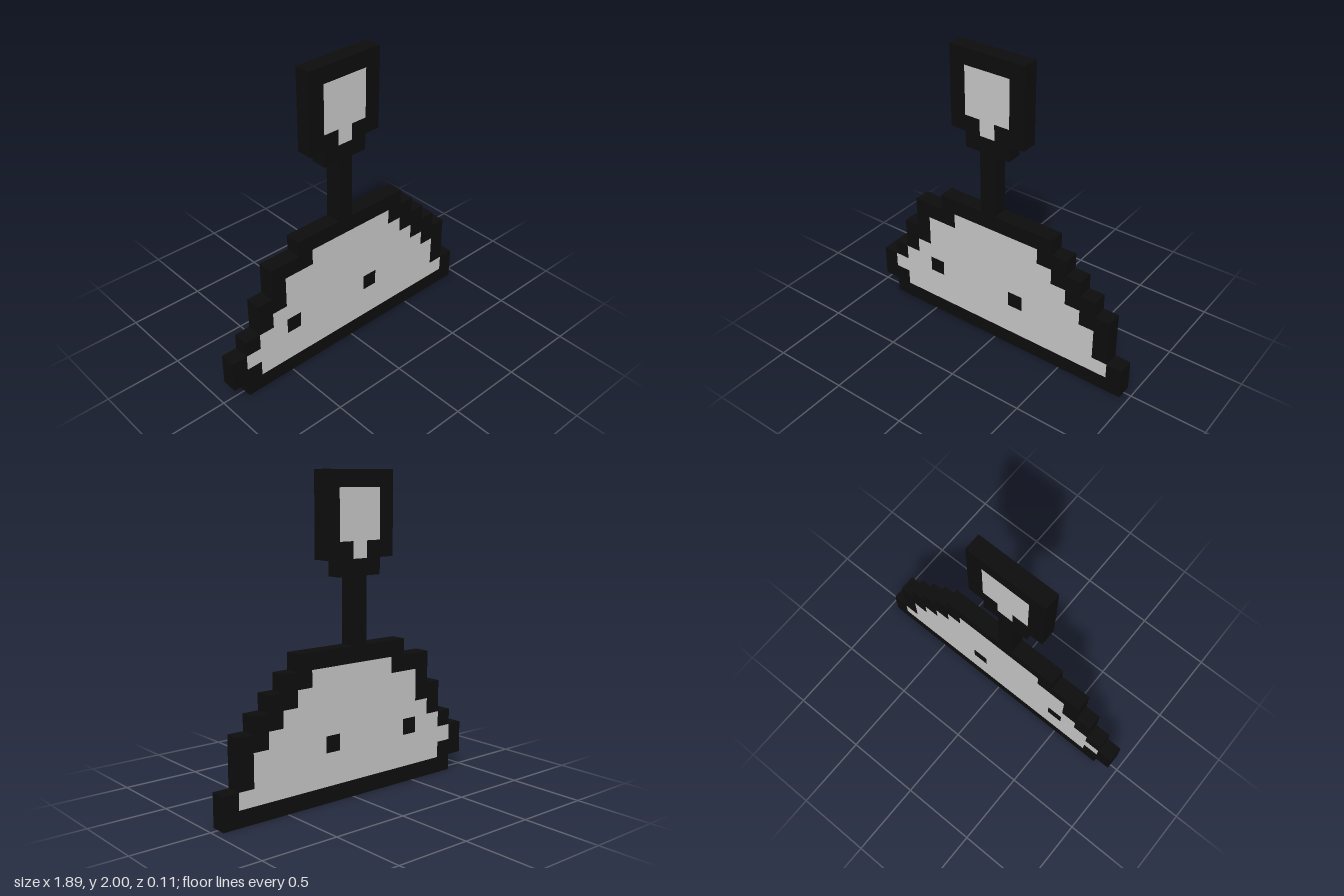
import * as THREE from 'three';

const CELL = 2 / 19;      // pixel size
const HALF = CELL / 2;    // half thickness

// Pixel plan, top row first; each letter is a part
const PLAN = [
  '......HHHHH.......',
  '......HpppH.......',
  '......HpppH.......',
  '......HpppH.......',
  '......HHpHH.......',
  '.......HHH........',
  '........S.........',
  '........S.........',
  '........S.........',
  '........S.........',
  '.....BBBBBBBB.....',
  '...BBBffffffBB....',
  '...BfffffffffBB...',
  '..BBffffffffffBB..',
  '..BffffffffffffBB.',
  '.BffeffffferrrrrB.'.replace(/r/g, 'f'),
  'BfffffffffffffffB.',
  'BBfffffffffffffffB',
  '.BBBBBBBBBBBBBBBBB',
];
const ROWS = PLAN.length, COLS = PLAN[0].length;
const cellAt = (c, r) => (PLAN[ROWS - 1 - r] || '')[c] || '.';

// Flush plate made of every cell with the given letter; only exposed faces are built
function pixelPart(letter) {
  const pos = [], nor = [];
  const quad = (a, b, c, d, n) => {
    for (const p of [a, b, c, a, c, d]) { pos.push(...p); nor.push(...n); }
  };
  for (let r = 0; r < ROWS; r++) {
    for (let c = 0; c < COLS; c++) {
      if (cellAt(c, r) !== letter) continue;
      const x0 = (c - COLS / 2) * CELL, x1 = x0 + CELL;
      const y0 = r * CELL, y1 = y0 + CELL, f = HALF, b = -HALF;
      quad([x0, y0, f], [x1, y0, f], [x1, y1, f], [x0, y1, f], [0, 0, 1]);
      quad([x1, y0, b], [x0, y0, b], [x0, y1, b], [x1, y1, b], [0, 0, -1]);
      if (cellAt(c - 1, r) === '.') quad([x0, y0, b], [x0, y0, f], [x0, y1, f], [x0, y1, b], [-1, 0, 0]);
      if (cellAt(c + 1, r) === '.') quad([x1, y0, f], [x1, y0, b], [x1, y1, b], [x1, y1, f], [1, 0, 0]);
      if (cellAt(c, r + 1) === '.') quad([x0, y1, f], [x1, y1, f], [x1, y1, b], [x0, y1, b], [0, 1, 0]);
      if (cellAt(c, r - 1) === '.') quad([x0, y0, b], [x1, y0, b], [x1, y0, f], [x0, y0, f], [0, -1, 0]);
    }
  }
  const geo = new THREE.BufferGeometry();
  geo.setAttribute('position', new THREE.Float32BufferAttribute(pos, 3));
  geo.setAttribute('normal', new THREE.Float32BufferAttribute(nor, 3));
  return geo;
}

export function createModel() {
  const black = new THREE.MeshStandardMaterial({ color: 0x0d0d0d });
  black.name = 'outline black';
  const grey = new THREE.MeshStandardMaterial({ color: 0xc5c5c5 });
  grey.name = 'fill grey';

  const group = new THREE.Group();
  group.name = 'pixelFigure';
  const parts = [
    ['bodyOutline', 'B', black],
    ['bodyFill', 'f', grey],
    ['eyes', 'e', black],
    ['stem', 'S', black],
    ['topOutline', 'H', black],
    ['topFill', 'p', grey],
  ];
  for (const [name, letter, material] of parts) {
    const mesh = new THREE.Mesh(pixelPart(letter), material);
    mesh.name = name;
    group.add(mesh);
  }
  return group;
}
